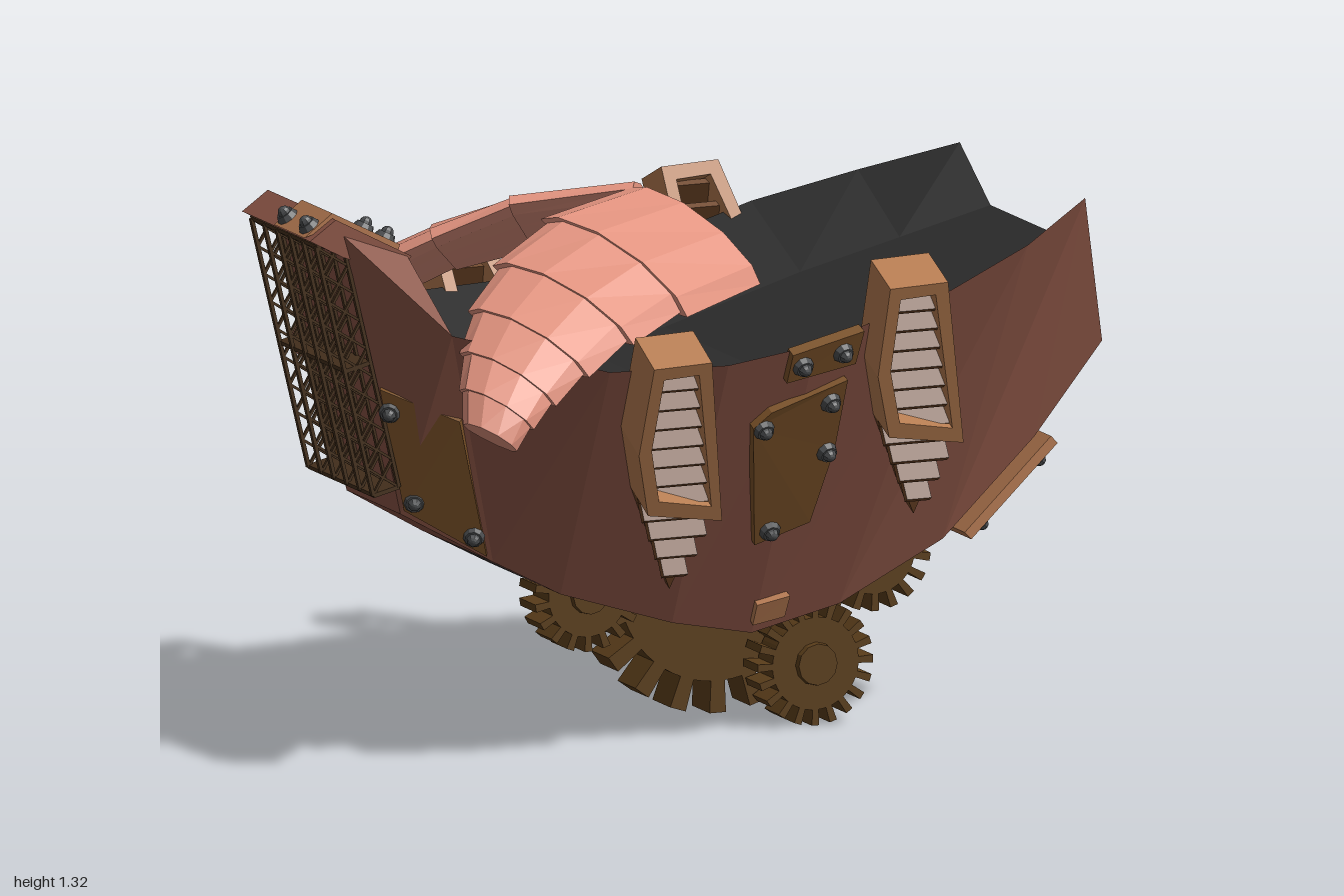
import * as THREE from 'three';

const mat = (color) => new THREE.MeshStandardMaterial({ color, flatShading: true, side: THREE.DoubleSide });
const M = {
  hull: mat(0x8a5445), deck: mat(0x2c2c2c), horn: mat(0xe2937f), rib: mat(0xb57b50), slat: mat(0x6e4526),
  plate: mat(0x7a5128), copper: mat(0xb0764f), gear: mat(0x5a3d1a), bolt: mat(0x4a4c4e), grill: mat(0x45301c),
};
const V = (x, y, z) => new THREE.Vector3(x, y, z);
const flip = (p) => V(p.x, p.y, -p.z);

function add(parent, geo, material, name) {
  const m = new THREE.Mesh(geo, material);
  m.name = name;
  parent.add(m);
  return m;
}
// Flat-faced geometry from convex polygons
function polys(list) {
  const pos = [];
  for (const f of list)
    for (let i = 1; i < f.length - 1; i++) for (const p of [f[0], f[i], f[i + 1]]) pos.push(p.x, p.y, p.z);
  const g = new THREE.BufferGeometry();
  g.setAttribute('position', new THREE.Float32BufferAttribute(pos, 3));
  g.computeVertexNormals();
  return g;
}
const shapeOf = (pts) => new THREE.Shape(pts.map(([x, y]) => new THREE.Vector2(x, y)));

// Hull frames from stern to bow: rim point and keel point of the +z side
const FRAMES = [
  [[-0.9, 1.27, 0.19], [-0.74, 0.6, 0.15]], [[-0.7, 1.05, 0.35], [-0.53, 0.48, 0.2]],
  [[-0.38, 0.97, 0.52], [-0.36, 0.39, 0.2]], [[-0.1, 0.97, 0.56], [-0.08, 0.3, 0.2]],
  [[0.12, 1.0, 0.56], [0.12, 0.26, 0.2]], [[0.46, 1.1, 0.56], [0.34, 0.31, 0.2]],
  [[0.69, 1.17, 0.475], [0.6, 0.44, 0.2]], [[0.89, 1.24, 0.35], [0.83, 0.66, 0.2]],
  [[0.89, 1.24, 0.35], [1.0, 0.87, 0.2]],
].map(([r, k]) => ({ rim: V(...r), keel: V(...k) }));

// Point and outward normal on the hull side: u along the frames, v from keel to rim
function hullPoint(u, v) {
  const i = Math.min(Math.floor(u), FRAMES.length - 2), a = FRAMES[i], b = FRAMES[i + 1];
  return a.keel.clone().lerp(a.rim, v).lerp(b.keel.clone().lerp(b.rim, v), u - i);
}
function hullNormal(u, v) {
  const du = hullPoint(u + 0.02, v).sub(hullPoint(u, v)), dv = hullPoint(u, v + 0.02).sub(hullPoint(u, v));
  return du.cross(dv).normalize();
}

function bolt(parent, p, n) {
  const g = new THREE.Group();
  g.name = 'bolt';
  add(g, new THREE.CylinderGeometry(0.02, 0.026, 0.014, 10), M.bolt, 'boltWasher');
  add(g, new THREE.SphereGeometry(0.016, 8, 4, 0, Math.PI * 2, 0, Math.PI / 2), M.bolt, 'boltHead').position.y = 0.007;
  g.position.copy(p).addScaledVector(n, 0.006);
  g.quaternion.setFromUnitVectors(V(0, 1, 0), n);
  parent.add(g);
}
// Riveted plate that follows the hull side
function hullPlate(parent, pts, bolts, material, name) {
  const lift = ([u, v], d) => hullPoint(u, v).addScaledVector(hullNormal(u, v), d);
  const outer = pts.map((p) => lift(p, 0.018)), inner = pts.map((p) => lift(p, -0.01));
  const edges = outer.map((p, i) => { const j = (i + 1) % pts.length; return [inner[i], inner[j], outer[j], p]; });
  add(parent, polys([outer, ...edges]), material, name);
  for (const b of bolts) bolt(parent, lift(b, 0.018), hullNormal(...b));
}

function buildHull(root) {
  const sides = [], keel = [], slot = [], deck = [];
  const inner = (f) => V(f.rim.x, f.rim.y - 0.115, f.rim.z * 0.51);
  const at = (p, z) => V(p.x, p.y, z);
  for (let i = 0; i < FRAMES.length - 1; i++) {
    const a = FRAMES[i], b = FRAMES[i + 1], s = [a.keel, b.keel, b.rim, a.rim];
    sides.push(s, s.map(flip).reverse());
    if (i >= 1 && i <= 5) {
      const k = [at(a.keel, 0.12), at(b.keel, 0.12), b.keel, a.keel];
      keel.push(k, k.map(flip).reverse());
      slot.push([at(a.keel, -0.12), at(b.keel, -0.12), at(b.keel, 0.12), at(a.keel, 0.12)]);
    } else keel.push([flip(a.keel), flip(b.keel), b.keel, a.keel]);
    if (i >= 1 && i < 7) {
      const ia = inner(a), ib = inner(b), d = [a.rim, b.rim, ib, ia];
      deck.push(d, d.map(flip).reverse(), [ia, ib, flip(ib), flip(ia)]);
    }
  }
  const T = FRAMES[0], R = FRAMES[1], bow = FRAMES[8], W = V(-0.74, 1.21, 0.19), ib = inner(bow), ir = inner(R);
  const tower = [T.rim, R.rim, W];
  add(root, polys([...sides, ...keel]), M.hull, 'hullSides');
  add(root, polys(slot), M.deck, 'gearSlot');
  add(root, polys(deck), M.deck, 'deck');
  add(root, polys([[bow.keel, ib, flip(ib), flip(bow.keel)], [bow.keel, bow.rim, ib],
    [flip(bow.keel), flip(ib), flip(bow.rim)]]), M.hull, 'bowFace');
  add(root, polys([[T.keel, T.rim, flip(T.rim), flip(T.keel)], tower, tower.map(flip).reverse(),
    [T.rim, W, flip(W), flip(T.rim)], [W, R.rim, ir, flip(ir), flip(R.rim), flip(W)]]), M.hull, 'sternTower');
}

function buildStern(root) {
  // Tower cap with a plate on its left half
  const cap = (z0, z1, pts, m, name) =>
    add(root, new THREE.ExtrudeGeometry(shapeOf(pts), { depth: z1 - z0, bevelEnabled: false }), m, name).position.z = z0;
  cap(-0.19, 0.19, [[-0.985, 1.265], [-0.92, 1.31], [-0.73, 1.21], [-0.76, 1.17], [-0.9, 1.22]], M.hull, 'towerCap');
  cap(0, 0.17, [[-0.99, 1.27], [-0.92, 1.322], [-0.75, 1.235], [-0.76, 1.2], [-0.92, 1.29]], M.copper, 'towerPlate');
  for (const z of [0.02, 0.14]) {
    bolt(root, V(-0.965, 1.29, z), V(-0.59, 0.81, 0).normalize());
    bolt(root, V(-0.775, 1.247, z), V(0.46, 0.89, 0).normalize());
  }
  // Lattice grill leaning over the stern wall
  const grill = new THREE.Group(), L = 0.61, N = 9, step = L / N, w = 0.066;
  grill.name = 'sternGrill';
  for (let k = 0; k < 6; k++) {
    const z = -0.18 + k * 0.072;
    for (const x of [-w / 2, w / 2]) add(grill, new THREE.BoxGeometry(0.008, L, 0.012), M.grill, 'grillRail').position.set(x, 0, z);
    for (let i = 0; i < N; i++) for (const s of [-1, 1]) {
      const b = add(grill, new THREE.BoxGeometry(0.006, Math.hypot(w, step), 0.008), M.grill, 'grillBrace');
      b.position.set(0, -L / 2 + (i + 0.5) * step, z);
      b.rotation.z = s * Math.atan2(w, step);
    }
  }
  for (const y of [-L / 2, 0, L / 2]) add(grill, new THREE.BoxGeometry(w, 0.01, 0.37), M.grill, 'grillCrossbar').position.y = y;
  grill.position.set(-0.862, 0.96, 0);
  grill.rotation.z = 0.237;
  root.add(grill);
}

// Louvred rib standing off the hull side
function rib(parent, x, y, u, v, tilt) {
  const g = new THREE.Group(), k = 1 / Math.cos(tilt);
  g.name = 'louvredRib';
  const local = (pts) => pts.map(([px, py]) => [px + 0.2, (py - 0.73) * k]);
  const frame = shapeOf(local([[-0.334, 1.045], [-0.19, 1.05], [-0.067, 0.63], [-0.26, 0.66], [-0.32, 0.82]]));
  frame.holes.push(shapeOf(local([[-0.302, 1.015], [-0.215, 1.02], [-0.103, 0.67], [-0.24, 0.695], [-0.29, 0.83]])));
  add(g, new THREE.ExtrudeGeometry(frame, { depth: 0.12, bevelEnabled: false }), M.rib, 'ribFrame').position.z = -0.02;
  const tail = shapeOf(local([[-0.26, 0.66], [-0.067, 0.63], [-0.12, 0.41]]));
  add(g, new THREE.ExtrudeGeometry(tail, { depth: 0.05, bevelEnabled: false }), M.slat, 'ribTail').position.z = -0.02;
  for (let i = 0; i < 11; i++) {
    const py = 0.99 - i * 0.05, low = py < 0.66;
    const l = low ? -0.26 + (0.66 - py) * 0.56 : py > 0.82 ? -0.31 : -0.31 + (0.82 - py) * 0.4;
    const r = low ? -0.07 - (0.63 - py) * 0.24 : -0.19 + (1.05 - py) * 0.29 - 0.02;
    const s = add(g, new THREE.BoxGeometry(r - l, 0.016, 0.085), M.slat, 'louvre');
    s.position.set((l + r) / 2 + 0.2, (py - 0.73) * k, low ? 0.03 : 0.045);
    s.rotation.x = 0.6;
  }
  g.position.set(x, y, hullPoint(u, v).z);
  g.rotation.x = tilt;
  parent.add(g);
}

// Overlapping tapered horn: each station has an inner and an outer edge point
function horn(parent) {
  const st = [[[-0.09, 1.29, 0.0], [0.11, 1.1, 0.28]], [[-0.35, 1.25, 0.11], [-0.15, 1.08, 0.41]],
    [[-0.51, 1.17, 0.19], [-0.32, 1.04, 0.485]], [[-0.62, 1.09, 0.29], [-0.45, 0.98, 0.53]],
    [[-0.68, 1.01, 0.37], [-0.54, 0.92, 0.55]], [[-0.715, 0.94, 0.44], [-0.6, 0.87, 0.565]],
    [[-0.73, 0.87, 0.49], [-0.64, 0.82, 0.565]]].map((s) => s.map((p) => V(...p)));
  const mid = st.map(([a, b]) => a.clone().add(b).multiplyScalar(0.5));
  const ring = (i, scale) => {
    const half = st[i][1].clone().sub(st[i][0]).multiplyScalar(0.5 * scale);
    const t = mid[Math.min(i + 1, 6)].clone().sub(mid[Math.max(i - 1, 0)]);
    const n = half.clone().cross(t).normalize();
    if (n.y < 0) n.negate();
    return Array.from({ length: 10 }, (_, k) => {
      const a = (k / 10) * Math.PI * 2, c = Math.cos(a);
      return mid[i].clone().addScaledVector(half, c).addScaledVector(n, Math.sin(a) * 0.036 * scale + (0.5 - c * c) * 0.12 * half.length());
    });
  };
  for (let i = 0; i < 6; i++) {
    const a = ring(i, 1), b = ring(i + 1, 1.1);
    add(parent, polys([a, b, ...a.map((p, k) => [p, a[(k + 1) % 10], b[(k + 1) % 10], b[k]])]), M.horn, 'hornSegment');
  }
}

function gear(parent, x, y, z, r, root, teeth, depth) {
  const pts = [];
  for (let i = 0; i < teeth; i++)
    for (const [o, q] of [[-0.5, root], [-0.22, root], [-0.2, r], [0.2, r], [0.22, root]]) {
      const a = ((i + o) / teeth) * Math.PI * 2 - Math.PI / 2;
      pts.push([Math.cos(a) * q, Math.sin(a) * q]);
    }
  const g = new THREE.ExtrudeGeometry(shapeOf(pts), { depth, bevelEnabled: false });
  add(parent, g, M.gear, 'gear').position.set(x, y, z);
  const hub = add(parent, new THREE.CylinderGeometry(root * 0.45, root * 0.6, depth + 0.03, 12), M.gear, 'gearHub');
  hub.position.set(x, y, z + depth / 2);
  hub.rotation.x = Math.PI / 2;
}

export function createModel() {
  const root = new THREE.Group();
  root.name = 'armouredHull';
  buildHull(root);
  buildStern(root);

  // Parts shared by both sides
  for (const s of [1, -1]) {
    const side = new THREE.Group();
    side.name = s > 0 ? 'frontSide' : 'backSide';
    side.scale.z = s;
    root.add(side);
    rib(side, -0.2, 0.73, 2.6, 0.62, 0.48);
    rib(side, 0.38, 0.87, 4.9, 0.73, 0.42);
    horn(side);
    hullPlate(side, [[0.05, 0.03], [0.95, 0.03], [0.95, 0.62], [0.08, 0.48]],
      [[0.14, 0.41], [0.2, 0.09], [0.84, 0.09]], M.plate, 'sternPlate');
    hullPlate(side, [[3.42, 0.75], [3.6, 0.8], [4.3, 0.84], [4.35, 0.6], [4.3, 0.36], [3.75, 0.32]],
      [[3.55, 0.74], [4.2, 0.78], [4.28, 0.6], [3.9, 0.37]], M.plate, 'sidePlate');
    hullPlate(side, [[3.7, 0.9], [4.33, 0.89], [4.33, 1.0], [3.7, 1.0]],
      [[3.85, 0.95], [4.2, 0.95]], s > 0 ? M.plate : M.copper, 'rimPlate');
    hullPlate(side, [[3.95, 0.04], [4.3, 0.04], [4.3, 0.11], [3.95, 0.11]], [], M.copper, 'keelVent');
    if (s < 0) hullPlate(side, [[6.1, 0.1], [6.9, 0.12], [6.9, 0.5], [6.2, 0.72]],
      [[6.2, 0.16], [6.8, 0.18], [6.8, 0.44], [6.25, 0.63]], M.plate, 'bowSidePlate');
  }

  // Plate under the bow
  const n = V(0.69, -0.72, 0).normalize();
  const bowPlate = add(root, new THREE.BoxGeometry(0.3, 0.024, 0.31), M.copper, 'bowPlate');
  bowPlate.position.set(0.75, 0.565, 0.055);
  bowPlate.position.addScaledVector(n, 0.025);
  bowPlate.rotation.z = 0.763;
  for (const z of [0.167, -0.07]) for (const d of [-0.1, 0.1])
    bolt(root, V(0.75 + d * 0.72, 0.565 + d * 0.69, z).addScaledVector(n, 0.037), n);

  // Gear train in the keel slot
  gear(root, 0.125, 0.36, -0.1, 0.325, 0.25, 20, 0.1);
  gear(root, 0.33, 0.15, 0.01, 0.145, 0.108, 20, 0.08);
  gear(root, -0.24, 0.36, 0.0, 0.135, 0.1, 18, 0.09);
  gear(root, 0.48, 0.4, 0.0, 0.14, 0.1, 18, 0.09);
  return root;
}
